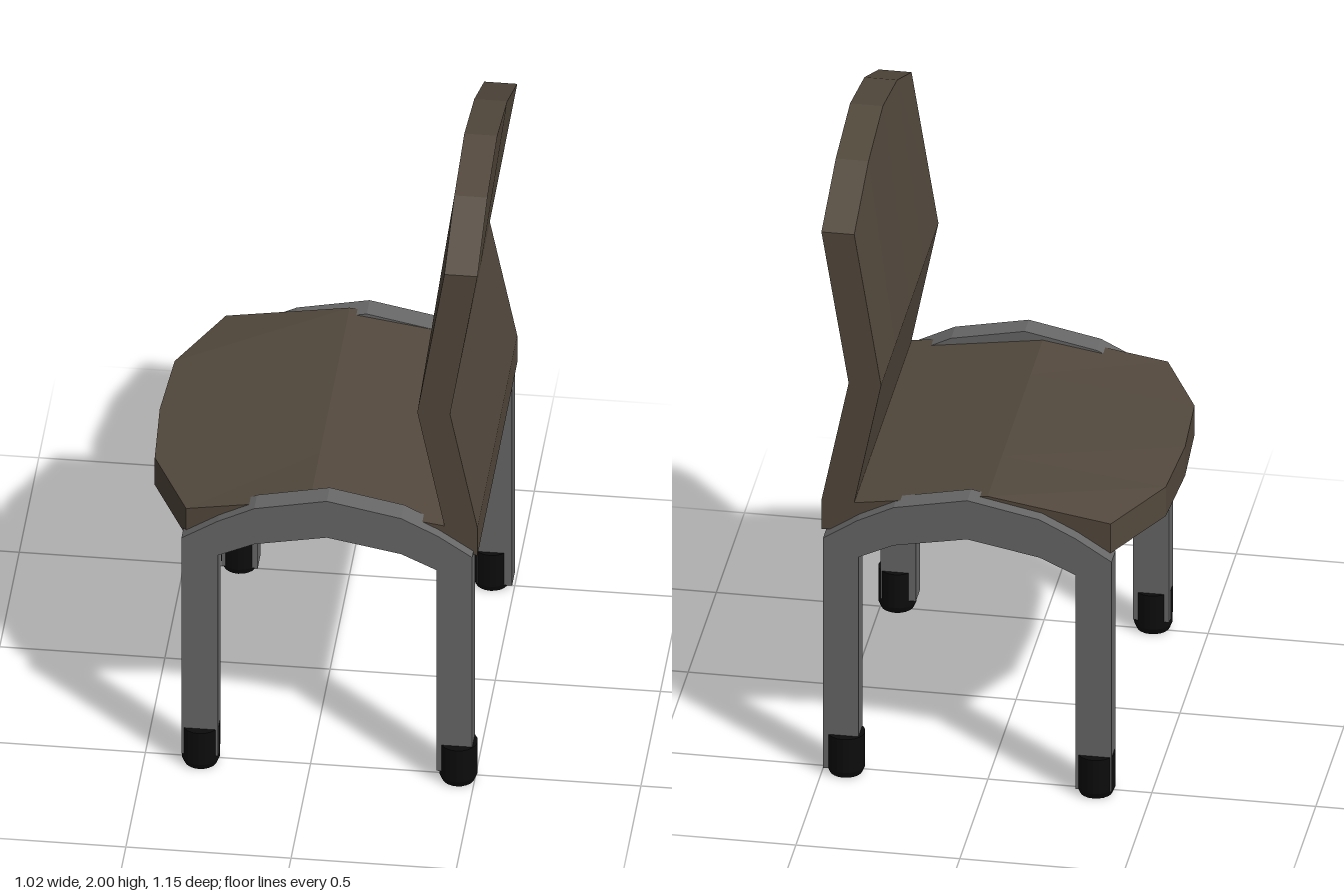
import * as THREE from 'three';

const material = (color, flatShading = true) => new THREE.MeshStandardMaterial({ color, flatShading });

function addMesh(parent, name, geometry, mat) {
  const mesh = new THREE.Mesh(geometry, mat);
  mesh.name = name;
  parent.add(mesh);
  return mesh;
}

// Side profile of the one-piece seat and backrest, from the front edge over the top and back underneath
const shellProfile = (frontX, topY) => [
  [frontX, 0.915], [0, 0.975], [0.407, 0.915], [0.325, 1.325], [0.407, topY],
  [0.507, topY], [0.424, 1.325], [0.507, 0.915], [0.507, 0.815], [0, 0.873], [frontX, 0.815],
];

// Lofts the profile across the width, with rounded front and top outlines
function shellGeometry() {
  const columns = [
    { z: -0.505, frontX: -0.375, topY: 1.837 },
    { z: -0.25, frontX: -0.5, topY: 1.95 },
    { z: 0.005, frontX: -0.515, topY: 2 },
    { z: 0.26, frontX: -0.5, topY: 1.95 },
    { z: 0.515, frontX: -0.375, topY: 1.837 },
  ];
  const loops = columns.map(c => shellProfile(c.frontX, c.topY));
  const n = loops[0].length;
  const positions = [];
  const index = [];
  loops.forEach((loop, j) => loop.forEach(([x, y]) => positions.push(x, y, columns[j].z)));

  for (let j = 0; j < loops.length - 1; j++) {
    for (let i = 0; i < n; i++) {
      const a = j * n + i, b = j * n + (i + 1) % n;
      index.push(a, a + n, b, b, a + n, b + n);
    }
  }
  // End caps
  const points = loops[0].map(([x, y]) => new THREE.Vector2(x, y));
  const last = (loops.length - 1) * n;
  for (const tri of THREE.ShapeUtils.triangulateShape(points, [])) {
    const ccw = THREE.ShapeUtils.area(tri.map(k => points[k])) > 0;
    const [a, b, c] = ccw ? tri : [tri[0], tri[2], tri[1]];
    index.push(last + a, last + b, last + c, a, c, b);
  }
  const geometry = new THREE.BufferGeometry();
  geometry.setAttribute('position', new THREE.Float32BufferAttribute(positions, 3));
  geometry.setIndex(index);
  const flat = geometry.toNonIndexed();
  flat.computeVertexNormals();
  return flat;
}

// Two legs joined by a faceted arch
function frameGeometry() {
  const outline = [
    [-0.385, 0.04], [-0.275, 0.04], [-0.275, 0.775], [-0.165, 0.825], [0.055, 0.867],
    [0.28, 0.825], [0.387, 0.775], [0.387, 0.04], [0.495, 0.04], [0.495, 0.83],
    [0.39, 0.9], [0.28, 0.955], [0.055, 1], [-0.165, 0.955], [-0.275, 0.9], [-0.385, 0.83],
  ];
  const shape = new THREE.Shape(outline.map(([x, y]) => new THREE.Vector2(x, y)));
  return new THREE.ExtrudeGeometry(shape, { depth: 0.073, bevelEnabled: false });
}

// Rubber cap with a narrowed base
function footGeometry() {
  const profile = [[0, 0], [0.05, 0], [0.058, 0.02], [0.058, 0.135], [0, 0.135]];
  return new THREE.LatheGeometry(profile.map(([r, y]) => new THREE.Vector2(r, y)), 20);
}

export function createModel() {
  const group = new THREE.Group();
  group.name = 'chair';
  const fabric = material(0x53493d);
  const metal = material(0x686868);
  const rubber = material(0x0c0c0c);

  addMesh(group, 'seatAndBackrest', shellGeometry(), fabric);

  // The two side frames differ slightly in height and foot position
  const frame = frameGeometry();
  const foot = footGeometry();
  const sides = [
    { name: 'nearSide', z: 0.476, y: 0, footZ: 0.517, feet: [-0.33, 0.45] },
    { name: 'farSide', z: -0.547, y: -0.022, footZ: -0.515, feet: [-0.333, 0.43] },
  ];
  for (const s of sides) {
    const side = new THREE.Group();
    side.name = s.name;
    addMesh(side, 'legFrame', frame, metal).position.set(0, s.y, s.z);
    s.feet.forEach((x, i) => {
      addMesh(side, i ? 'backFoot' : 'frontFoot', foot, rubber).position.set(x, 0, s.footZ);
    });
    group.add(side);
  }
  return group;
}
